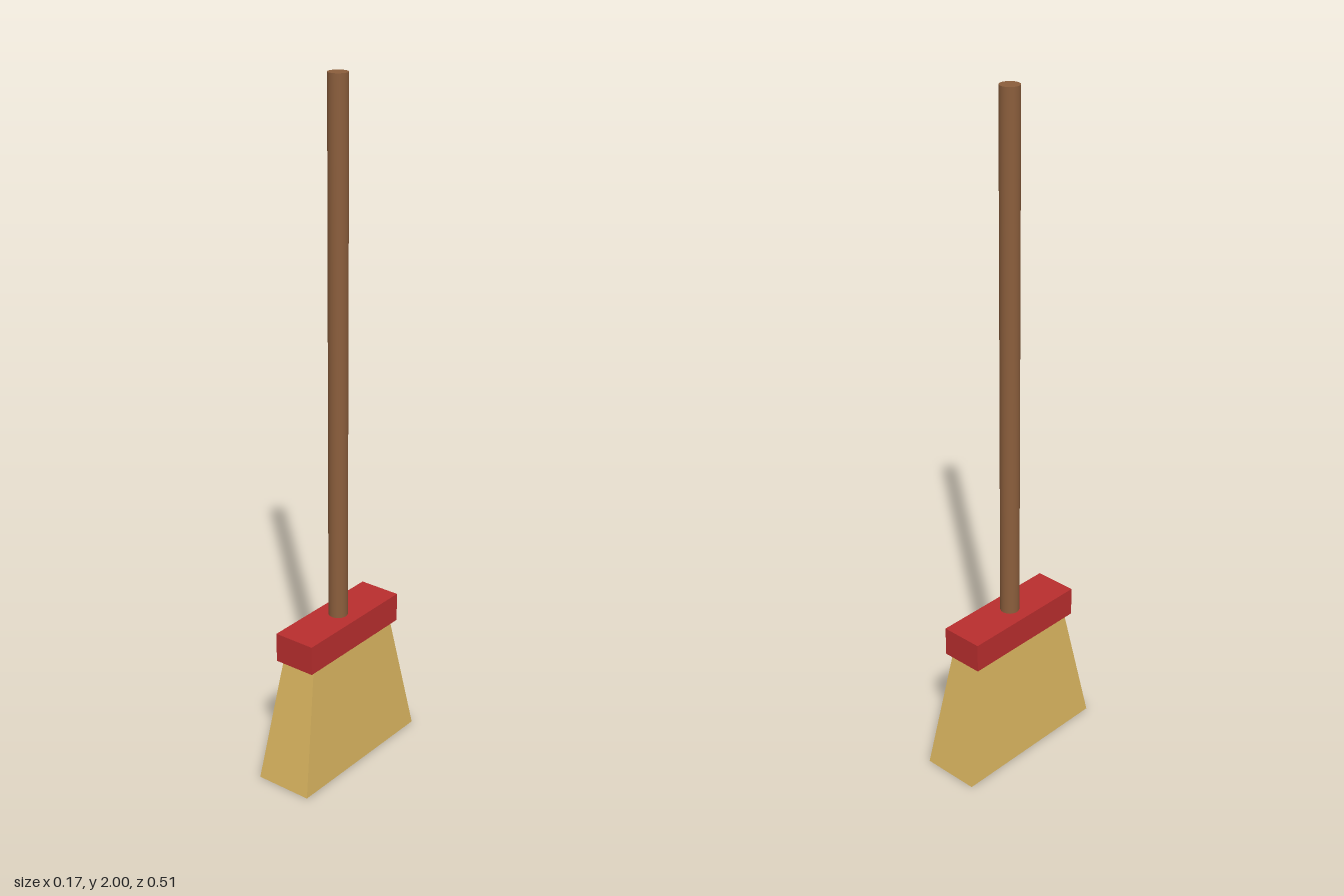
import * as THREE from 'three';

const material = (name, color) => {
  const m = new THREE.MeshStandardMaterial({ color });
  m.name = name;
  return m;
};

export function createModel() {
  const group = new THREE.Group();
  group.name = 'broom';
  const wood = material('brown wood', 0x8b5e3c);
  const red = material('red band', 0xb92e2e);
  const straw = material('yellow straw', 0xd6b25e);

  const add = (name, geometry, mat, y) => {
    const mesh = new THREE.Mesh(geometry, mat);
    mesh.name = name;
    mesh.position.y = y;
    group.add(mesh);
  };

  // Round stick, seated in the band
  add('handle', new THREE.CylinderGeometry(0.028, 0.028, 1.56, 24), wood, 1.22);

  // Binding block
  add('band', new THREE.BoxGeometry(0.127, 0.087, 0.4), red, 0.4135);

  // Bristle head: a box that narrows towards the band
  const head = new THREE.BoxGeometry(0.174, 0.38, 0.51);
  const p = head.attributes.position;
  for (let i = 0; i < p.count; i++) {
    if (p.getY(i) > 0) {
      p.setX(i, Math.sign(p.getX(i)) * 0.053);
      p.setZ(i, Math.sign(p.getZ(i)) * 0.178);
    }
  }
  head.computeVertexNormals();
  add('bristles', head, straw, 0.19);

  return group;
}
